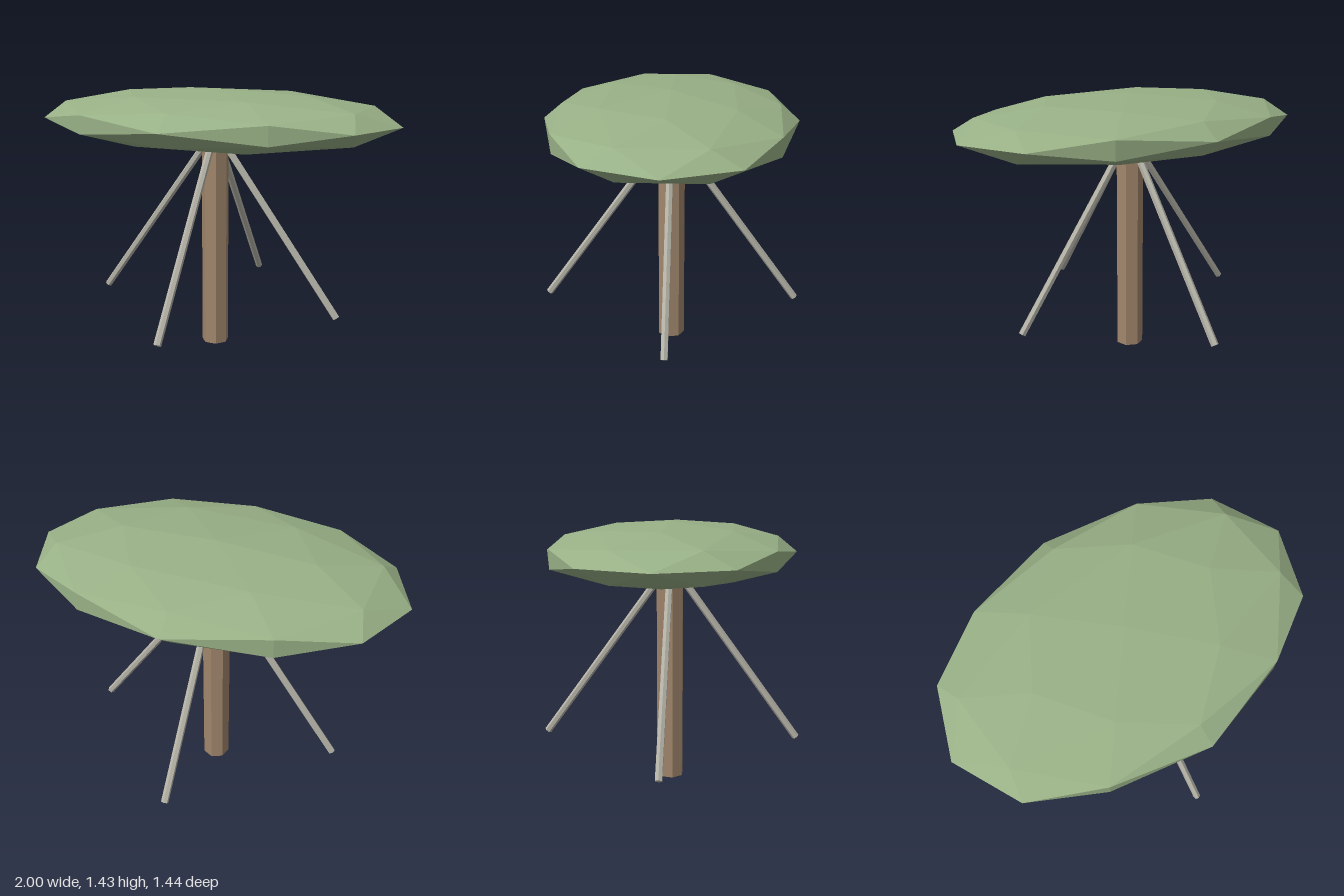
import * as THREE from 'three';

const mat = (name, color) => {
  const m = new THREE.MeshStandardMaterial({ color });
  m.name = name;
  m.flatShading = true;
  return m;
};

export function createModel() {
  const model = new THREE.Group();
  const leaf = mat('leaf green', 0x98b086);
  const bark = mat('bark brown', 0xa0866c);
  const root = mat('pale grey', 0xb4b2a6);

  const add = (parent, name, geometry, material) => {
    const mesh = new THREE.Mesh(geometry, material);
    mesh.name = name;
    parent.add(mesh);
    return mesh;
  };

  // Flattened faceted canopy
  const canopy = add(model, 'canopy',
    new THREE.IcosahedronGeometry(1, 1).scale(1, 0.157, 0.675), leaf);
  canopy.position.y = 1.274;

  // Seven-sided trunk, its top hidden in the canopy
  const trunk = add(model, 'trunk',
    new THREE.CylinderGeometry(0.075, 0.075, 1.2, 7).rotateY(Math.PI), bark);
  trunk.position.y = 0.6;

  // Four slanting props, from inside the canopy outward and down
  const top = new THREE.Vector2(0.023, 1.18);
  const foot = new THREE.Vector2(0.705, 0.238);
  const propGeometry = new THREE.CylinderGeometry(0.02, 0.02, top.distanceTo(foot), 6)
    .rotateY(Math.PI / 6)
    .rotateZ(Math.atan2(foot.x - top.x, top.y - foot.y))
    .translate((top.x + foot.x) / 2, (top.y + foot.y) / 2, 0);
  for (let i = 0; i < 4; i++) {
    add(model, 'propRoot' + (i + 1), propGeometry, root).rotation.y = i * Math.PI / 2;
  }
  return model;
}
